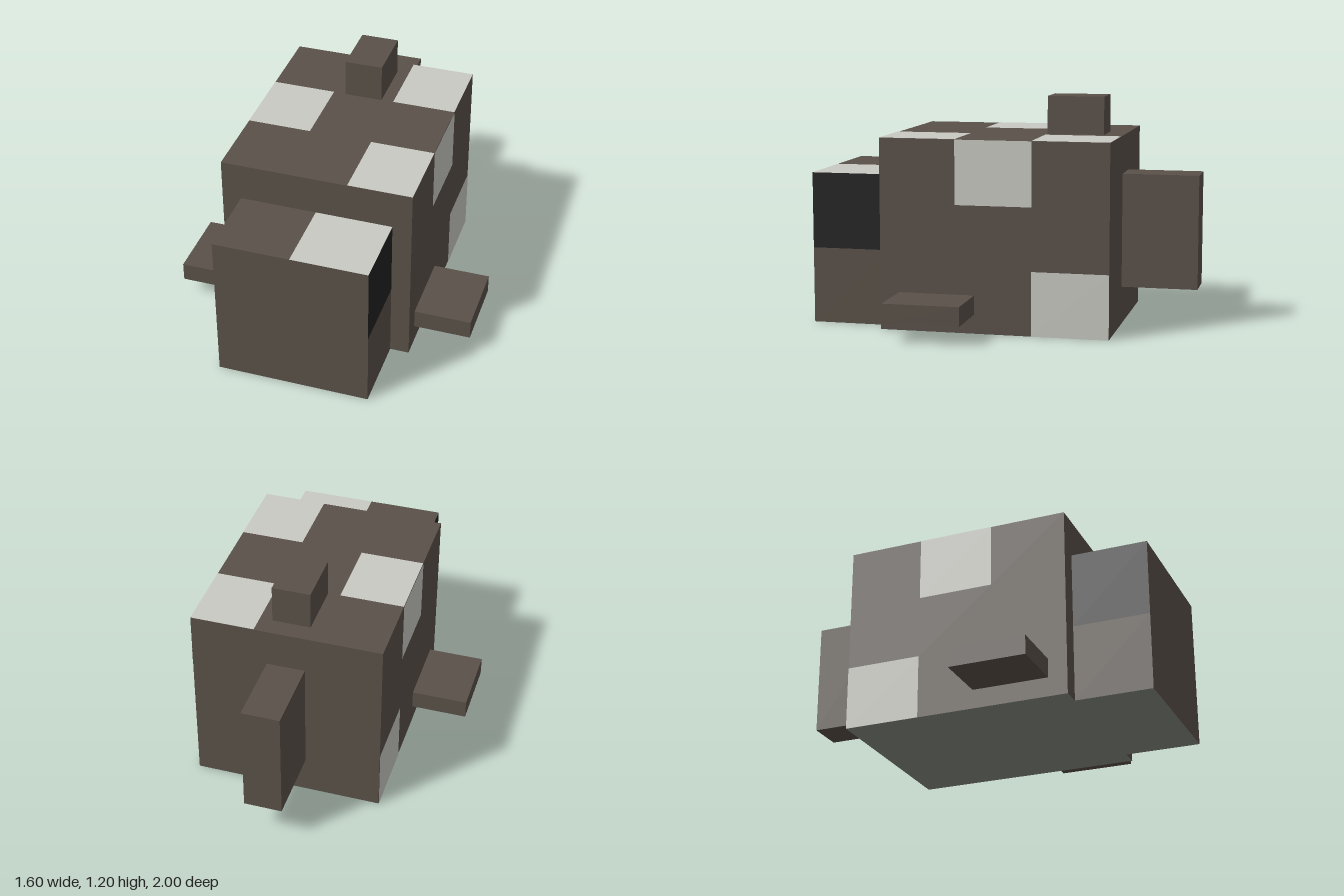
import * as THREE from 'three';

const material = (name, color) => {
  const m = new THREE.MeshStandardMaterial({ color });
  m.name = name;
  return m;
};

export function createModel() {
  const brown = material('brown skin', 0x5a5149);
  const pale = material('pale patch', 0xcacac3);
  const grey = material('grey belly', 0x888c84);
  const black = material('black eye', 0x222222);

  const model = new THREE.Group();
  model.name = 'blockFish';

  // Box from its min and max corners; faces overrides single sides (+x -x +y -y +z -z)
  function box(name, min, max, faces = {}) {
    const size = max.map((v, i) => v - min[i]);
    const mats = Array.from({ length: 6 }, (_, i) => faces[i] ?? brown);
    const uniform = Object.keys(faces).length === 0;
    const mesh = new THREE.Mesh(new THREE.BoxGeometry(...size), uniform ? brown : mats);
    mesh.position.set(...max.map((v, i) => (v + min[i]) / 2));
    mesh.name = name;
    model.add(mesh);
  }

  // Flat painted patch lying just above a surface
  const LIFT = 0.002;
  function patch(name, width, height, position, rotation) {
    const mesh = new THREE.Mesh(new THREE.PlaneGeometry(width, height), pale);
    mesh.position.set(...position);
    mesh.rotation.set(...rotation);
    mesh.name = name;
    model.add(mesh);
  }

  // Body with grey belly
  box('body', [-0.5, 0, -0.6], [0.5, 1, 0.6], { 3: grey });

  // Head: plain jaw, and two upper halves with eyes on the outer sides
  box('jaw', [-0.4, 0, 0.6], [0.4, 0.4, 1], { 3: grey });
  box('upperHeadLeft', [0, 0.4, 0.6], [0.4, 0.8, 1], { 0: black, 2: pale });
  box('upperHeadRight', [-0.4, 0.4, 0.6], [0, 0.8, 1], { 1: black });

  // Fins and tail
  box('backFin', [-0.1, 1, -0.5], [0.1, 1.2, -0.2]);
  box('tail', [-0.1, 0.2, -1], [0.1, 0.8, -0.6]);
  box('leftFin', [0.5, 0.1, 0.1], [0.8, 0.2, 0.5]);
  box('rightFin', [-0.8, 0.1, 0.1], [-0.5, 0.2, 0.5]);

  // Patches on the back, alternating sides
  for (const [side, z] of [[1, -0.4], [-1, 0], [1, 0.4]]) {
    patch('backPatch', 0.335, 0.4, [side * 0.3325, 1 + LIFT, z], [-Math.PI / 2, 0, 0]);
  }

  // Patches on both flanks: upper middle and lower rear
  for (const side of [-1, 1]) {
    for (const [y, z] of [[0.8325, 0], [0.1675, -0.4]]) {
      patch('flankPatch', 0.4, 0.335, [side * (0.5 + LIFT), y, z], [0, side * Math.PI / 2, 0]);
    }
  }

  return model;
}
